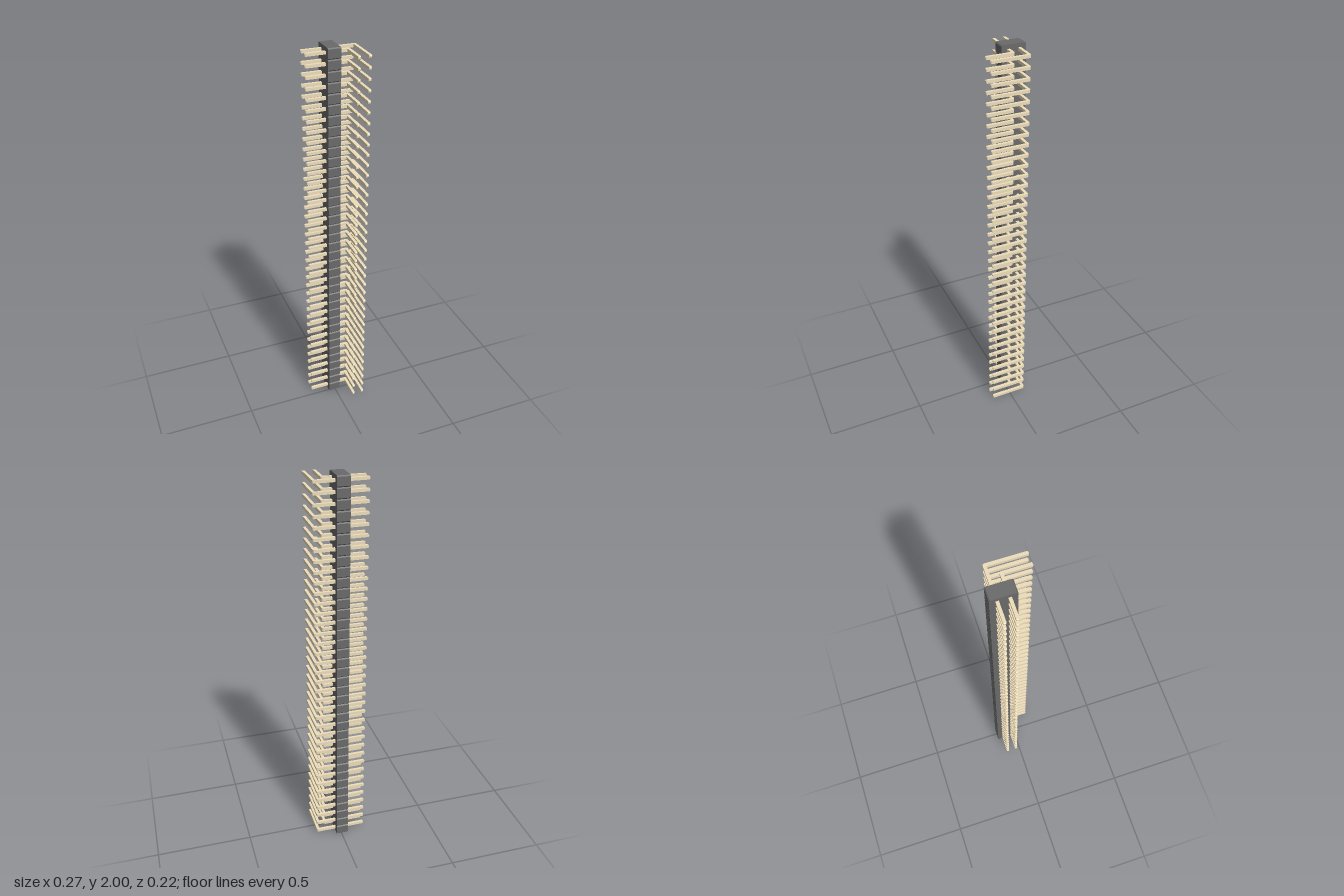
import * as THREE from 'three';

const COUNT = 38;               // pin rows
const PITCH = 2 / COUNT;
const W = 0.0145;               // pin thickness
const H = W / 2;
const TIP = 0.0036;             // bevel of the pin tips
const X_TIP = -0.135, Z_TIP = 0.1075;

// Housing: notched outline (one octagonal cell per row) extruded along x
function housingGeometry() {
  const zBack = -0.1085, zFront = 0.011, c = PITCH / 10;
  const xMin = -0.036, xMax = 0.027;
  const side = [], other = [];
  for (let i = 0; i < COUNT; i++) {
    const y0 = i * PITCH, y1 = y0 + PITCH;
    const ys = [[c, y0], [0, y0 + c], [0, y1 - c]];
    if (i === COUNT - 1) ys.push([c, y1]);
    for (const [inset, y] of ys) {
      side.push(new THREE.Vector2(-zBack - inset, y));
      other.unshift(new THREE.Vector2(-zFront + inset, y));
    }
  }
  const shape = new THREE.Shape([...side, ...other]);
  return new THREE.ExtrudeGeometry(shape, { depth: xMax - xMin, bevelEnabled: false })
    .rotateY(Math.PI / 2)
    .translate(xMin, 0, 0);
}

// Square pin running along +x, then bent towards +z, with bevelled tips
function pinGeometry(xLeg, zRow) {
  const r = 0.0095, b = TIP;
  const xi = xLeg - H, zi = zRow + H;      // inside corner of the bend
  const xo = xLeg + H, zo = zRow - H;      // outside corner of the bend
  // each section: inner x, z, outer x, z, half height
  const sections = [
    [X_TIP, zi - b, X_TIP, zo + b, H - b],
    [X_TIP + b, zi, X_TIP + b, zo, H],
  ];
  for (let k = 0; k <= 6; k++) {
    const a = (k / 6) * Math.PI / 2;
    sections.push([xi, zi, xo - r + r * Math.sin(a), zo + r - r * Math.cos(a), H]);
  }
  sections.push(
    [xi, Z_TIP - b, xo, Z_TIP - b, H],
    [xi + b, Z_TIP, xo - b, Z_TIP, H - b],
  );
  const rings = sections.map(([ix, iz, ox, oz, h]) =>
    [[ix, -h, iz], [ox, -h, oz], [ox, h, oz], [ix, h, iz]]);
  const pos = [];
  const quad = (p, q, s, t) => pos.push(...p, ...q, ...s, ...p, ...s, ...t);
  for (let i = 0; i < rings.length - 1; i++) {
    const A = rings[i], B = rings[i + 1];
    for (let k = 0; k < 4; k++) {
      const n = (k + 1) % 4;
      // the inside face has no length within the bend
      if (k === 3 && i >= 2 && i < 8) continue;
      quad(A[k], A[n], B[n], B[k]);
    }
  }
  const first = rings[0], last = rings[rings.length - 1];
  quad(first[3], first[2], first[1], first[0]);
  quad(...last);
  const g = new THREE.BufferGeometry();
  g.setAttribute('position', new THREE.Float32BufferAttribute(pos, 3));
  g.computeVertexNormals();
  return g;
}

export function createModel() {
  const model = new THREE.Group();
  model.name = 'rightAnglePinHeader';

  const plastic = new THREE.MeshStandardMaterial({ color: 0x6b6a6a });
  const metal = new THREE.MeshStandardMaterial({ color: 0xeedebb });

  const housing = new THREE.Mesh(housingGeometry(), plastic);
  housing.name = 'housing';
  model.add(housing);

  // Two columns of bent pins: long ones at the back, short ones in front
  const columns = [
    ['longPin', pinGeometry(0.1265, -0.0755)],
    ['shortPin', pinGeometry(0.074, -0.023)],
  ];
  for (const [name, geometry] of columns) {
    const column = new THREE.Group();
    column.name = name + 'Column';
    for (let i = 0; i < COUNT; i++) {
      const pin = new THREE.Mesh(geometry, metal);
      pin.name = name;
      pin.position.y = (i + 0.5) * PITCH;
      column.add(pin);
    }
    model.add(column);
  }
  return model;
}
